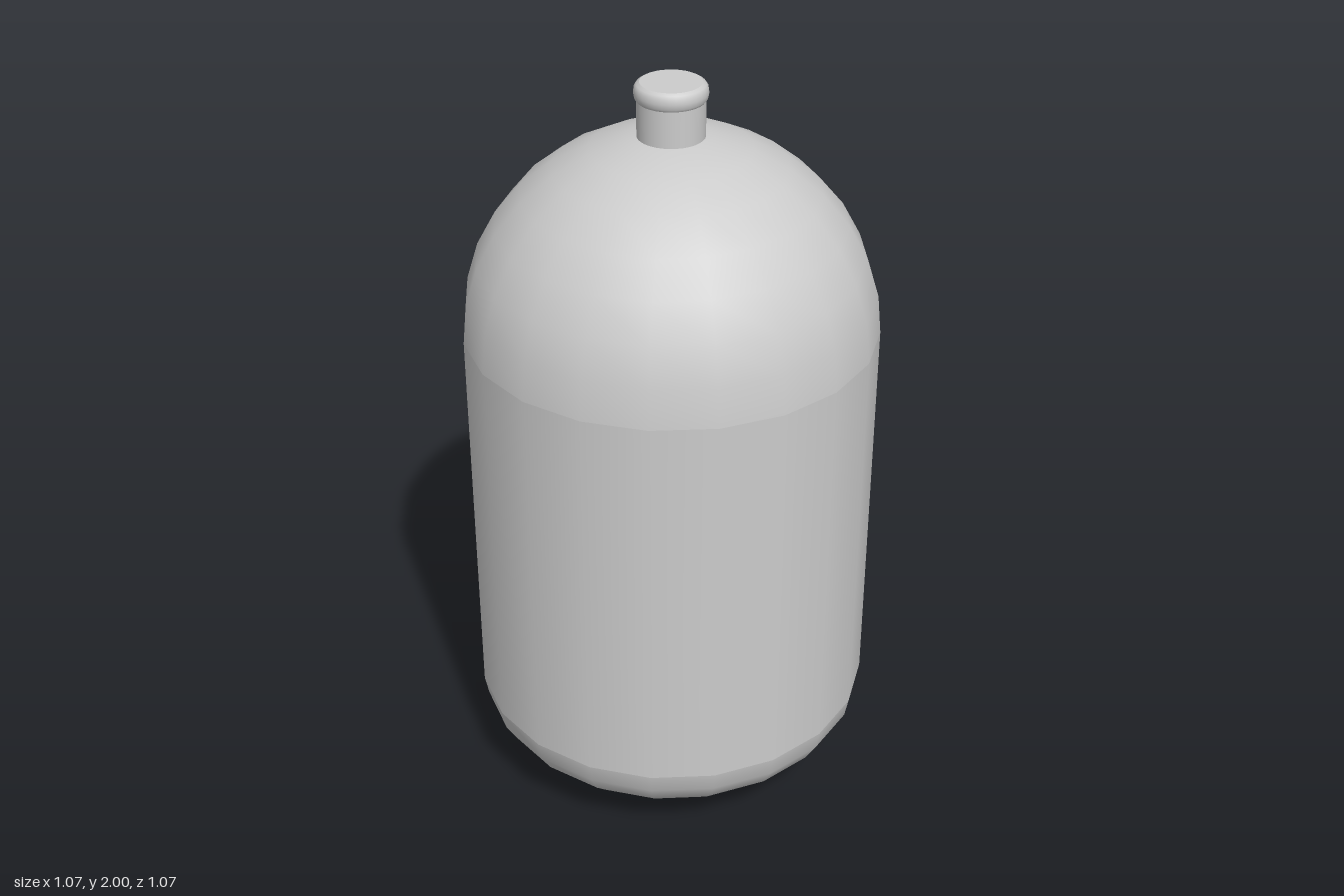
import * as THREE from 'three';

const R = 0.535, BASE = 0.275, TOP = 1.345, SIDES = 20;

export function createModel() {
  const group = new THREE.Group();
  const material = new THREE.MeshStandardMaterial({ color: 0xcccccc });

  // Profiles run from bottom to top so the faces point outwards
  const lathe = (name, points, sides = SIDES) => {
    const profile = points.map(([r, y]) => new THREE.Vector2(r, y));
    const mesh = new THREE.Mesh(new THREE.LatheGeometry(profile, sides), material);
    mesh.name = name;
    group.add(mesh);
  };

  // Quarter-ellipse profile between two angles, in degrees
  const arc = (y, height, from, to, steps = 8) =>
    Array.from({ length: steps + 1 }, (_, i) => {
      const a = THREE.MathUtils.degToRad(from + (to - from) * i / steps);
      return [Math.max(0, R * Math.cos(a)), y + height * Math.sin(a)];
    });

  // Tank: shallow base, straight wall, round shoulder
  lathe('bottomDome', arc(BASE, BASE, -90, 0));
  lathe('tankWall', [[R, BASE], [R, TOP]]);
  lathe('topDome', arc(TOP, 0.525, 0, 90));

  // Neck, rounded lip and closed top
  lathe('neck', [[0.085, 1.84], [0.085, 1.962]], 32);
  lathe('neckLip', [[0.085, 1.955], [0.09, 1.962], [0.092, 1.975], [0.09, 1.988], [0.085, 1.995], [0.077, 2]], 32);
  lathe('neckCap', [[0.077, 2], [0, 2]], 32);

  return group;
}
